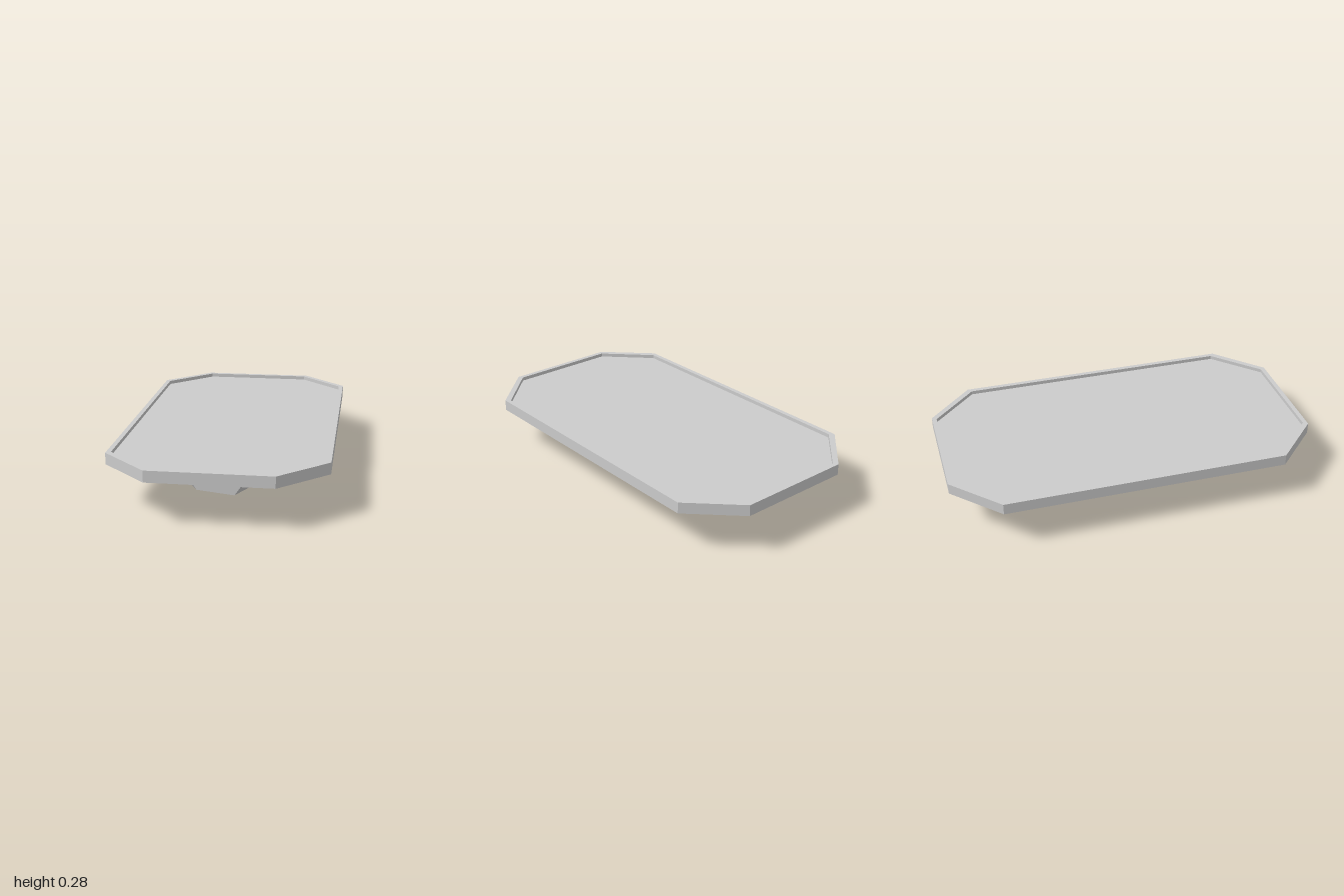
import * as THREE from 'three';
import { ConvexGeometry } from 'three/addons/geometries/ConvexGeometry.js';

const material = new THREE.MeshStandardMaterial({ color: 0xcccccc, flatShading: true });

// Elongated octagon: half width/length and where the chamfers begin
function octagon(Type, w, l, cw, cl) {
  return new Type([
    [w, -cl], [w, cl], [cw, l], [-cw, l], [-w, cl], [-w, -cl], [-cw, -l], [cw, -l],
  ].map(([x, y]) => new THREE.Vector2(x, y)));
}

// Horizontal slab between two heights
function slab(name, shape, y0, y1) {
  const geometry = new THREE.ExtrudeGeometry(shape, { depth: y1 - y0, bevelEnabled: false });
  geometry.rotateX(-Math.PI / 2).translate(0, y0, 0);
  const mesh = new THREE.Mesh(geometry, material);
  mesh.name = name;
  return mesh;
}

export function createModel() {
  const group = new THREE.Group();
  group.name = 'traySlab';

  // Raised rim around the plate
  const rim = octagon(THREE.Shape, 0.56, 1, 0.315, 0.76);
  rim.holes.push(octagon(THREE.Path, 0.535, 0.975, 0.3, 0.74));
  group.add(slab('rim', rim, 0.22, 0.28));

  // Recessed panel inside the rim
  group.add(slab('panel', octagon(THREE.Shape, 0.535, 0.975, 0.3, 0.74), 0.228, 0.26));

  // Faceted rock underneath: half of its corners, mirrored front to back
  const corners = [
    // top ring
    [0.19, 0.23, 0.74], [-0.19, 0.23, 0.74], [0.315, 0.23, 0.28], [-0.315, 0.23, 0.28],
    // middle ring
    [0.085, 0.08, 0.74], [-0.105, 0.1, 0.74], [0.24, 0.1, 0.48], [-0.225, 0.08, 0.48],
    [0.28, 0.08, 0], [-0.295, 0.1, 0],
    // flat bottom
    [0.155, 0, 0.28], [-0.06, 0, 0.49], [-0.19, 0, 0.28],
  ];
  const points = [];
  for (const [x, y, z] of corners) {
    points.push(new THREE.Vector3(x, y, z));
    if (z > 0) points.push(new THREE.Vector3(x, y, -z));
  }
  const rock = new THREE.Mesh(new ConvexGeometry(points), material);
  rock.name = 'facetedBase';
  group.add(rock);

  return group;
}
